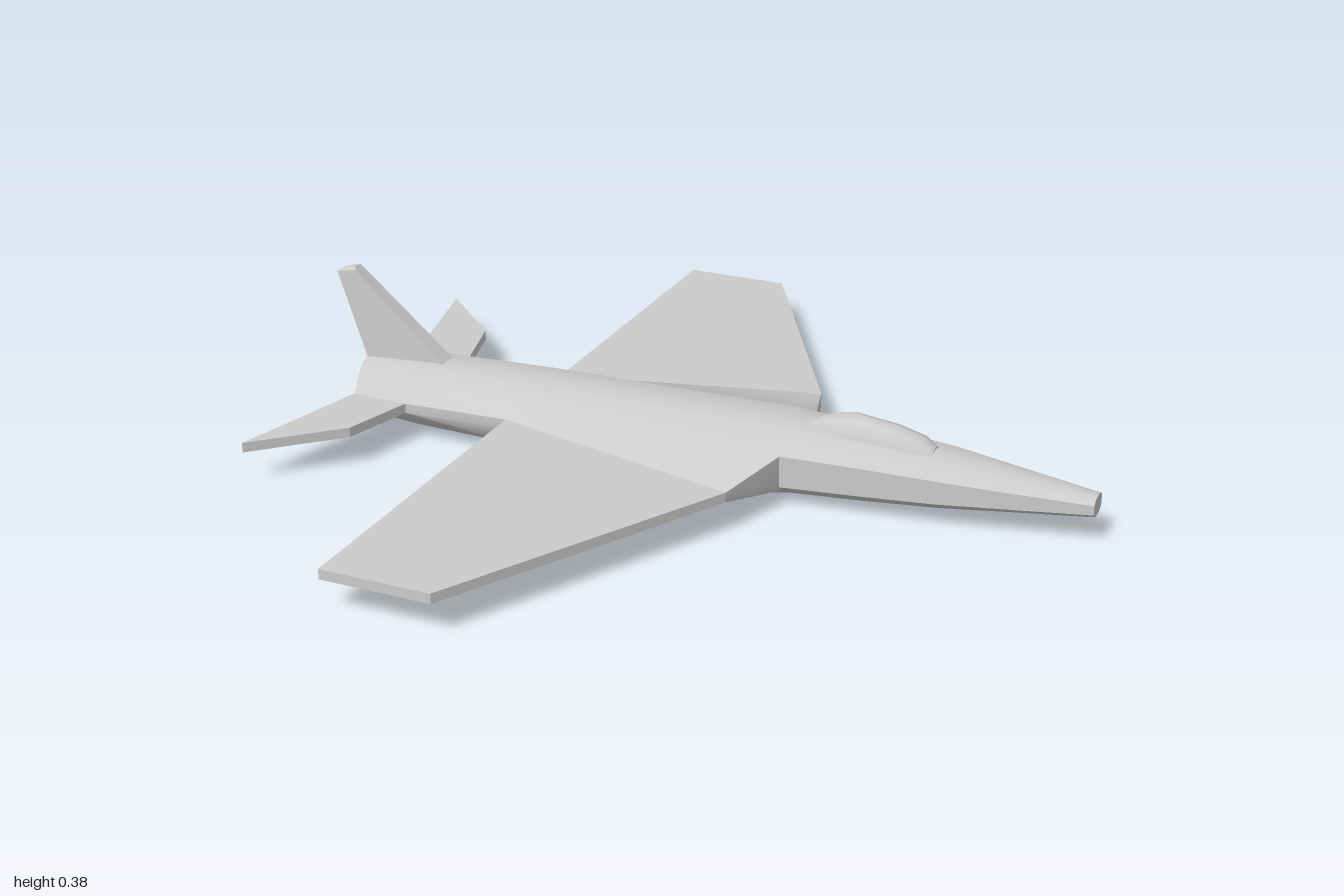
import * as THREE from 'three';
import { toCreasedNormals } from 'three/addons/utils/BufferGeometryUtils.js';

const material = new THREE.MeshStandardMaterial({ color: 0xcccccc });
const PLATE_TOP = 0.105, PLATE_BOTTOM = 0.08;

// Skin a list of closed rings of [x, y, z] points and cap both ends.
function loft(rings, crease) {
  const pos = [];
  const tri = (...pts) => pts.forEach((p) => pos.push(...p));
  const n = rings[0].length;
  for (let i = 0; i < rings.length - 1; i++) {
    for (let j = 0; j < n; j++) {
      const k = (j + 1) % n;
      const a = rings[i][j], b = rings[i][k], c = rings[i + 1][j], d = rings[i + 1][k];
      tri(a, c, b);
      tri(b, c, d);
    }
  }
  const cap = (ring, flip) => {
    const mid = [0, 1, 2].map((m) => ring.reduce((s, p) => s + p[m], 0) / n);
    ring.forEach((p, j) => {
      const q = ring[(j + 1) % n];
      if (flip) tri(mid, q, p);
      else tri(mid, p, q);
    });
  };
  cap(rings[0], false);
  cap(rings[rings.length - 1], true);
  const geo = new THREE.BufferGeometry();
  geo.setAttribute('position', new THREE.Float32BufferAttribute(pos, 3));
  return toCreasedNormals(geo, crease);
}

// Complete a half section of [z, y] points, running top to bottom, by mirroring.
function mirroredRing(x, half) {
  const left = half.map(([z, y]) => [x, y, z]);
  const right = half.slice(1, -1).reverse().map(([z, y]) => [x, y, -z]);
  return [...left, ...right];
}

// Flat horizontal plate from an outline of [x, z] points.
function plate(outline, side) {
  const shape = new THREE.Shape(outline.map(([x, z]) => new THREE.Vector2(x, z * side)));
  const geo = new THREE.ExtrudeGeometry(shape, { depth: PLATE_TOP - PLATE_BOTTOM, bevelEnabled: false });
  return geo.rotateX(Math.PI / 2).translate(0, PLATE_TOP, 0);
}

export function createModel() {
  const group = new THREE.Group();
  const add = (name, geometry) => {
    const mesh = new THREE.Mesh(geometry, material);
    mesh.name = name;
    group.add(mesh);
  };

  // Fuselage: the nose is one rounded section, scaled down towards the tip
  const root = [[0, 0.175], [0.07, 0.168], [0.115, 0.145], [0.13, 0.13],
    [0.13, 0.05], [0.115, 0.035], [0.07, 0.01], [0, 0.005]];
  const nose = [[0.99, 0.035, 0.115, 0.065], [0.8, 0.068, 0.135, 0.047],
    [0.63, 0.096, 0.154, 0.03], [0.45, 0.113, 0.167, 0.016], [0.26, 0.13, 0.175, 0.005]];
  const rings = nose.map(([x, w, top, bottom]) => mirroredRing(x, root.map(([z, y]) =>
    [z * w / 0.13, bottom + (y - 0.005) / 0.17 * (top - bottom)])));

  // Fuselage: the body spreads into thin side edges that meet the wings and tail
  const body = [
    // x, edge z, top, shoulder, upper side, lower side
    [0.2, 0.31, [0, 0.175], [0.07, 0.17], [0.125, 0.145], [0.14, 0.028]],
    [-0.455, 0.15, [0, 0.17], [0.06, 0.165], [0.105, 0.145], [0.125, 0.03]],
    [-0.73, 0.165, [0, 0.163], [0.05, 0.16], [0.095, 0.14], [0.115, 0.03]],
    [-0.88, 0.16, [0, 0.153], [0.045, 0.15], [0.08, 0.135], [0.095, 0.03]],
    [-0.92, 0.08, [0, 0.15], [0.04, 0.147], [0.065, 0.13], [0.072, 0.03]],
  ];
  for (const [x, edge, top, shoulder, upper, lower] of body) {
    rings.push(mirroredRing(x, [top, shoulder, upper, [edge, PLATE_TOP],
      [edge, PLATE_BOTTOM], lower, [lower[0] * 0.55, 0.004], [0, 0]]));
  }
  add('fuselage', loft(rings, 0.7));

  // Wings and tailplanes
  const wing = [[0.2, 0.31], [-0.18, 1], [-0.455, 1], [-0.455, 0.15]];
  const tailplane = [[-0.73, 0.165], [-0.78, 0.345], [-0.97, 0.525], [-0.88, 0.16]];
  for (const [label, side] of [['left', 1], ['right', -1]]) {
    add(label === 'left' ? 'rightHandWing'.replace('rightHand', 'left') : 'rightWing', plate(wing, side));
    add(`${label}Tailplane`, plate(tailplane, side));
  }

  // Canopy
  const canopy = [[0.6, 0.16, 0.03], [0.57, 0.182, 0.04], [0.5, 0.201, 0.043],
    [0.4, 0.213, 0.045], [0.34, 0.202, 0.04], [0.28, 0.172, 0.015]];
  add('canopy', loft(canopy.map(([x, top, w]) => mirroredRing(x, [[0, top],
    [w * 0.55, top - (top - 0.14) * 0.12], [w, 0.14 + (top - 0.14) * 0.45], [w * 1.1, 0.14], [0, 0.14]])), 0.9));

  // Tail fin, swept back and thinner at the tip
  const fin = (front, yFront, back, yBack, h) =>
    [[front, yFront, h], [back, yBack, h], [back, yBack, -h], [front, yFront, -h]];
  add('tailFin', loft([fin(-0.66, 0.13, -0.915, 0.13, 0.025),
    fin(-0.945, 0.378, -1, 0.368, 0.017), fin(-0.95, 0.385, -0.985, 0.376, 0.011)], 0.3));

  return group;
}
